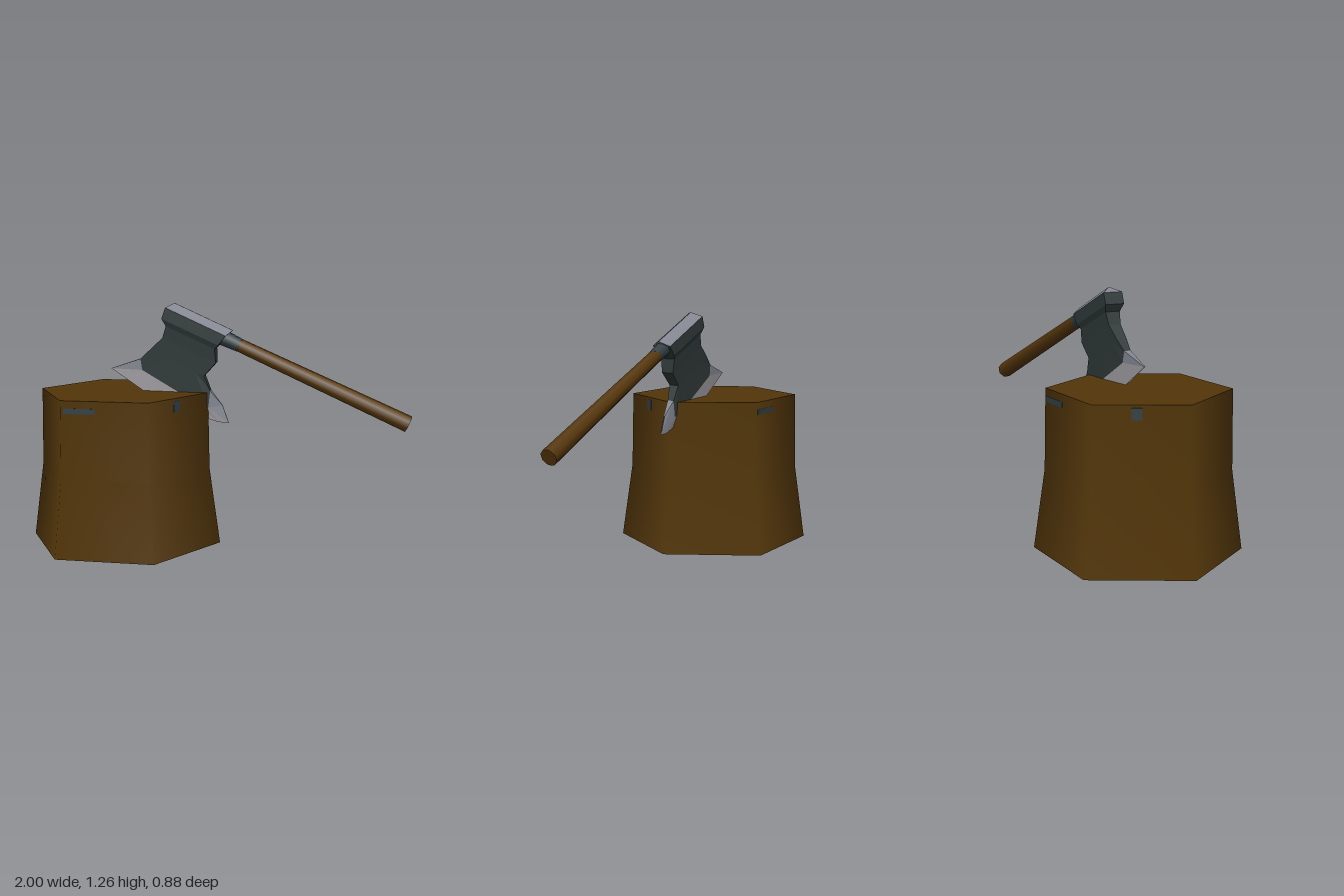
import * as THREE from 'three';

const mat = (name, color, side = THREE.FrontSide) =>
  Object.assign(new THREE.MeshStandardMaterial({ color, side }), { name });

// Skin rings of points (listed top to bottom) with flat facets; keep picks panels of the ring.
function loft(rows, keep = () => true) {
  const pos = [];
  const rings = rows.map((row) => [
    ...row.map(([u, v, h]) => [u, v, h]),
    ...row.slice().reverse().map(([u, v, h]) => [u, v, -h]),
  ]);
  for (let r = 0; r < rings.length - 1; r++) {
    const a = rings[r], b = rings[r + 1], n = a.length;
    for (let j = 0; j < n; j++) {
      if (!keep(j)) continue;
      const k = (j + 1) % n;
      pos.push(...a[j], ...b[j], ...b[k], ...a[j], ...b[k], ...a[k]);
    }
  }
  const g = new THREE.BufferGeometry();
  g.setAttribute('position', new THREE.Float32BufferAttribute(pos, 3));
  g.computeVertexNormals();
  return g;
}

// Straight row of seven points at one height.
const row = (u0, u1, v, h) =>
  Array.from({ length: 7 }, (_, i) => [u0 + ((u1 - u0) * i) / 6, v, h]);

export function createModel() {
  const wood = mat('wood', 0x533609, THREE.DoubleSide);
  const handleWood = mat('handle wood', 0x55360a);
  const iron = mat('dark iron', 0x303a39, THREE.DoubleSide);
  const slate = mat('slate metal', 0x303e43);
  const steel = mat('steel', 0x828590, THREE.DoubleSide);
  const edgeSteel = mat('sharpened steel', 0xaca8ae, THREE.DoubleSide);

  const model = new THREE.Group();
  const add = (parent, name, geometry, material) => {
    const m = new THREE.Mesh(geometry, material);
    m.name = name;
    parent.add(m);
    return m;
  };

  // Six-sided stump, flared at the foot and open underneath
  const stump = new THREE.Group();
  stump.name = 'stump';
  stump.position.x = -0.49;
  model.add(stump);
  const profile = [[0.51, 0], [0.454, 0.4], [0.447, 0.8]].map((p) => new THREE.Vector2(...p));
  add(stump, 'stumpSide', new THREE.LatheGeometry(profile, 6, Math.PI / 2), wood);
  add(stump, 'stumpTop', new THREE.CircleGeometry(0.447, 6).rotateX(-Math.PI / 2).translate(0, 0.8, 0), wood);

  // Metal inlays near the rim, repeated on the opposite faces
  for (const turn of [0, Math.PI]) {
    const pair = new THREE.Group();
    pair.name = 'inlays';
    pair.rotation.y = turn;
    stump.add(pair);
    add(pair, 'longInlay', new THREE.BoxGeometry(0.16, 0.028, 0.006), slate).position.set(-0.128, 0.748, 0.3865);
    const small = add(pair, 'smallInlay', new THREE.BoxGeometry(0.048, 0.055, 0.006), slate);
    small.position.set(0.325, 0.758, 0.2095);
    small.rotation.y = Math.PI / 3;
  }

  // Axe, laid out along its handle and tilted into the stump
  const axe = new THREE.Group();
  axe.name = 'axe';
  axe.position.set(0, 1.1, -0.012);
  axe.rotation.z = -0.42;
  model.add(axe);

  const shoulder = row(-0.292, 0.05, 0.02, 0.052);
  const cheekEnd = [
    [-0.311, -0.283, 0.018], [-0.278, -0.332, 0.02], [-0.278, -0.332, 0.02], [-0.06, -0.355, 0.02],
    [0.117, -0.362, 0.02], [0.117, -0.362, 0.02], [0.09, -0.278, 0.018],
  ];
  const edge = [
    [-0.435, -0.398, 0.003], [-0.435, -0.398, 0.003], [-0.234, -0.433, 0.002], [-0.06, -0.442, 0.002],
    [0.194, -0.412, 0.002], [0.245, -0.392, 0.003], [0.178, -0.322, 0.003],
  ];
  add(axe, 'headCap', loft([row(-0.265, 0.068, 0.055, 0.002), shoulder]), steel);
  add(axe, 'headBody', loft([
    shoulder,
    row(-0.287, 0.035, -0.04, 0.052),
    row(-0.253, 0.025, -0.067, 0.04),
    row(-0.246, 0.058, -0.131, 0.033),
    row(-0.284, 0.03, -0.22, 0.027),
    cheekEnd,
  ]), iron);
  const corner = (j) => [0, 5, 6, 7, 12, 13].includes(j);
  add(axe, 'bladeCorners', loft([cheekEnd, edge], corner), steel);
  add(axe, 'bladeBevel', loft([cheekEnd, edge], (j) => !corner(j)), edgeSteel);

  // Collar and slightly flared handle
  add(axe, 'collar', new THREE.CylinderGeometry(0.036, 0.043, 0.11, 8, 1, false, Math.PI / 8)
    .rotateZ(-Math.PI / 2).translate(0.075, 0, 0), slate);
  const handle = add(axe, 'handle', new THREE.CylinderGeometry(0.044, 0.035, 0.97, 8, 1, false, Math.PI / 8)
    .rotateZ(-Math.PI / 2).translate(0.59, 0, 0), handleWood);
  handle.rotation.y = 0.0145;

  return model;
}
